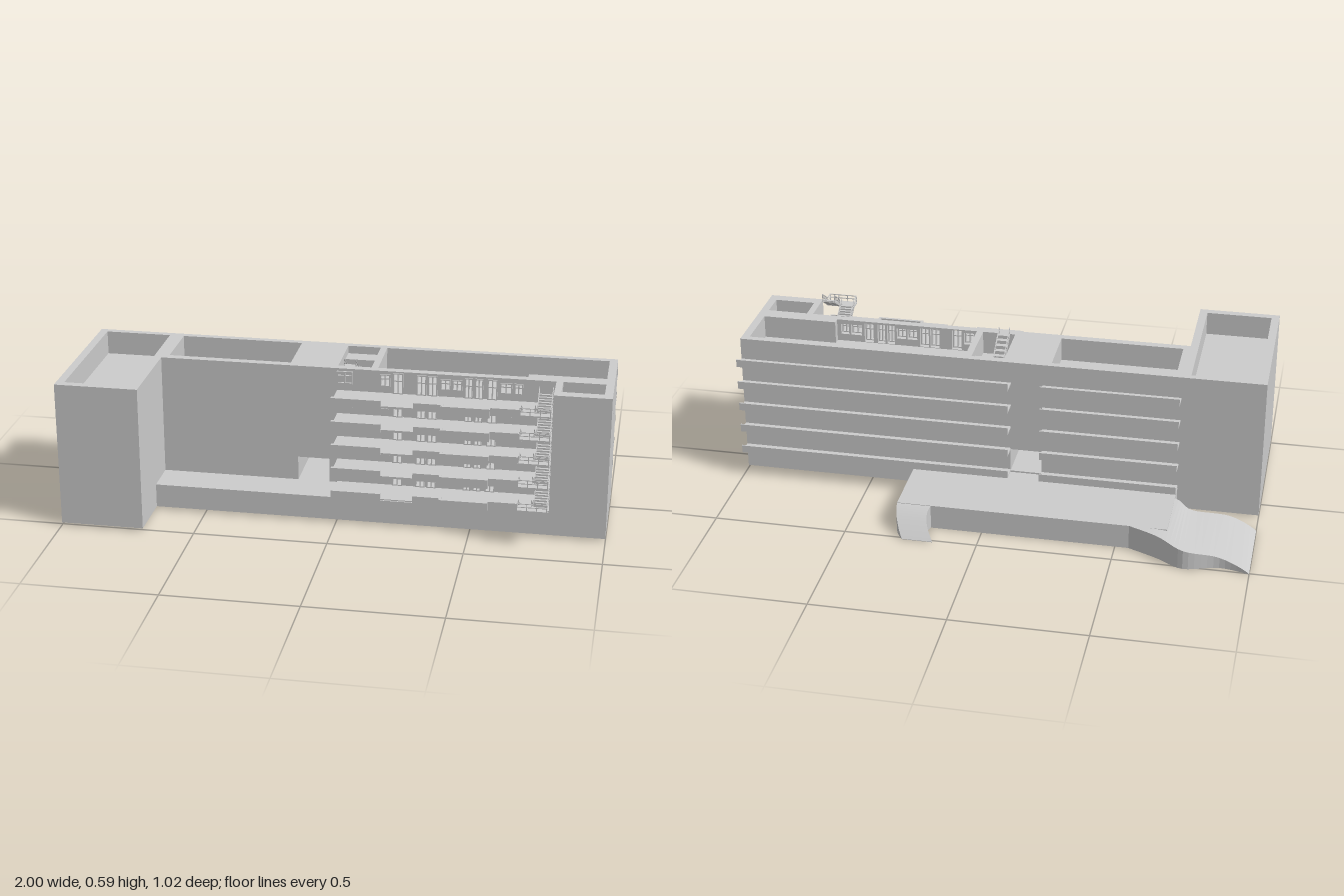
import * as THREE from 'three';

const mat = new THREE.MeshStandardMaterial({ color: 0xcccccc, flatShading: true, side: THREE.DoubleSide });
const FLOORS = [0, 1, 2, 3, 4].map(i => 0.1 + i * 0.0925);
const ROOF = 0.56, TOP = 0.47;

function add(parent, name, geo) {
  const m = new THREE.Mesh(geo, mat);
  m.name = name;
  parent.add(m);
  return m;
}

// Box given by its extents
function box(parent, name, x0, x1, y0, y1, z0, z1) {
  const m = add(parent, name, new THREE.BoxGeometry(x1 - x0, y1 - y0, z1 - z0));
  m.position.set((x0 + x1) / 2, (y0 + y1) / 2, (z0 + z1) / 2);
  return m;
}

// Thin square bar between two points
function bar(parent, name, a, b, t = 0.003) {
  const p = new THREE.Vector3(...a), q = new THREE.Vector3(...b);
  const m = add(parent, name, new THREE.BoxGeometry(t, t, p.distanceTo(q)));
  m.position.copy(p).lerp(q, 0.5);
  m.lookAt(q);
}

const rect = (x0, x1, z0, z1) => [[x0, z0], [x1, z0], [x1, z1], [x0, z1]];

// Floor plan of [x, z] corners, extruded from y0 to y1
function plan(parent, name, pts, holes, y0, y1) {
  const vec = p => p.map(([x, z]) => new THREE.Vector2(x, -z));
  const shape = new THREE.Shape(vec(pts));
  holes.forEach(h => shape.holes.push(new THREE.Path(vec(h))));
  const geo = new THREE.ExtrudeGeometry(shape, { depth: y1 - y0, bevelEnabled: false });
  geo.rotateX(-Math.PI / 2);
  geo.translate(0, y0, 0);
  return add(parent, name, geo);
}

// Solid from sections: two top corners each, sides dropping to the ground
function groundLoft(parent, name, sections) {
  const pos = [], idx = [];
  for (const [a, b] of sections) pos.push(...a, ...b, b[0], 0, b[2], a[0], 0, a[2]);
  for (let i = 0; i < sections.length - 1; i++)
    for (let j = 0; j < 4; j++) {
      const k = (j + 1) % 4, p = i * 4, q = p + 4;
      idx.push(p + j, p + k, q + k, p + j, q + k, q + j);
    }
  const e = (sections.length - 1) * 4;
  idx.push(0, 2, 1, 0, 3, 2, e, e + 1, e + 2, e, e + 2, e + 3);
  const geo = new THREE.BufferGeometry();
  geo.setAttribute('position', new THREE.Float32BufferAttribute(pos, 3));
  geo.setIndex(idx);
  geo.computeVertexNormals();
  return add(parent, name, geo);
}

// Openings of one storey: x range, sill and head above the floor
const OPENINGS = [
  [0.142, 0.18, 0.03, 0.078], [0.19, 0.228, 0.004, 0.085], [0.278, 0.314, 0.004, 0.082],
  [0.32, 0.355, 0.004, 0.082], [0.366, 0.404, 0.03, 0.072], [0.41, 0.447, 0.03, 0.072],
  [0.456, 0.486, 0.004, 0.082], [0.494, 0.524, 0.004, 0.082], [0.54, 0.576, 0.004, 0.082],
  [0.586, 0.63, 0.03, 0.072], [0.638, 0.67, 0.03, 0.072],
];

function windowFrame(parent, x0, x1, y0, y1, z) {
  const g = new THREE.Group(), t = 0.004, a = z - 0.012, b = z + 0.005, xm = (x0 + x1) / 2;
  g.name = 'windowFrame';
  for (const x of [x0, xm - t / 2, x1 - t]) box(g, 'frameUpright', x, x + t, y0, y1, a, b);
  for (const y of [y0, y0 + (y1 - y0) * 0.6, y1 - t]) box(g, 'frameRail', x0, x1, y, y + t, a, b);
  parent.add(g);
}

// Straight flight with steps, sloping soffit and railings
function flight(parent, x0, x1, ya, za, yb, zb) {
  const g = new THREE.Group(), n = 7;
  g.name = 'stairFlight';
  const dy = (yb - ya) / n, dz = (zb - za) / n;
  for (let i = 0; i < n; i++) {
    const z = za + i * dz, y = ya + i * dy;
    box(g, 'step', x0, x1, y, y + dy, Math.min(z, z + dz), Math.max(z, z + dz));
  }
  const soffit = add(g, 'soffit', new THREE.BoxGeometry(x1 - x0, 0.005, Math.hypot(yb - ya, zb - za)));
  soffit.position.set((x0 + x1) / 2, (ya + yb) / 2 - 0.003, (za + zb) / 2);
  soffit.rotation.x = -Math.atan((yb - ya) / (zb - za));
  for (const x of [x0 + 0.002, x1 - 0.002]) {
    for (const h of [0.014, 0.026]) bar(g, 'handrail', [x, ya + h, za], [x, yb + h, zb], 0.0025);
    for (let i = 0; i <= 4; i++) {
      const y = ya + (yb - ya) * i / 4, z = za + (zb - za) * i / 4;
      bar(g, 'railPost', [x, y, z], [x, y + 0.026, z], 0.0025);
    }
  }
  parent.add(g);
}

export function createModel() {
  const root = new THREE.Group();
  root.name = 'building';

  // Podium and side wing
  box(root, 'podium', -0.69, 1, 0.01, 0.1, -0.1, 0.31);
  box(root, 'wing', -1, -0.69, 0.01, TOP, -0.1, 0.51);
  plan(root, 'wingParapet', rect(-1, -0.69, -0.1, 0.51), [rect(-0.97, -0.72, -0.075, 0.48)], TOP, ROOF);

  // Main block around the passage
  box(root, 'mainBlock', -0.69, -0.17, 0.1, TOP, -0.1, 0.17);
  box(root, 'passageLintel', -0.17, -0.05, 0.193, TOP, -0.1, 0.17);
  box(root, 'stairCore', -0.05, 0.13, 0.1, TOP, -0.1, 0.17);
  plan(root, 'mainParapet', rect(-0.69, 0.13, -0.1, 0.17),
    [rect(-0.665, -0.2, -0.075, 0.14), rect(-0.02, 0.105, -0.075, 0.14)], TOP, ROOF);
  box(root, 'stairwellLedge', -0.02, 0.105, TOP, 0.53, -0.075, -0.01);

  // Apartment block: back and end walls, solid corner, floors
  plan(root, 'apartmentWalls', [[0.13, -0.1], [1, -0.1], [1, 0.17], [0.685, 0.17], [0.685, 0.112],
    [0.97, 0.112], [0.97, -0.075], [0.13, -0.075]], [], 0.1, ROOF);
  for (const y of FLOORS) box(root, 'apartmentFloor', 0.13, 0.97, y - 0.006, y + 0.002, -0.075, 0.145);

  // Front wall with window and door openings
  const wall = new THREE.Shape([[0.13, 0.1], [0.685, 0.1], [0.685, ROOF], [0.13, ROOF]].map(p => new THREE.Vector2(...p)));
  for (const y of FLOORS)
    for (const [x0, x1, s, h] of OPENINGS) {
      wall.holes.push(new THREE.Path([[x0, y + s], [x0, y + h], [x1, y + h], [x1, y + s]].map(p => new THREE.Vector2(...p))));
      windowFrame(root, x0, x1, y + s, y + h, 0.17);
    }
  const wallGeo = new THREE.ExtrudeGeometry(wall, { depth: 0.03, bevelEnabled: false });
  wallGeo.translate(0, 0, 0.14);
  add(root, 'frontWall', wallGeo);

  // Corner tower
  box(root, 'cornerTower', 0.79, 1, 0.1, TOP, 0.17, 0.31);
  plan(root, 'towerParapet', rect(0.79, 1, 0.112, 0.31), [rect(0.815, 0.97, 0.14, 0.27)], TOP, ROOF);

  for (const y of FLOORS) {
    // Front galleries with broken parapet and bay
    box(root, 'gallerySlab', -0.02, 0.79, y - 0.004, y + 0.004, 0.17, 0.305);
    for (const [x0, x1] of [[-0.02, 0.165], [0.285, 0.385], [0.565, 0.68]])
      box(root, 'galleryParapet', x0, x1, y - 0.004, y + 0.026, 0.296, 0.31);
    box(root, 'bayFront', 0.385, 0.565, y - 0.008, y + 0.026, 0.315, 0.326);
    box(root, 'bayFloor', 0.385, 0.565, y - 0.008, y + 0.003, 0.3, 0.326);
    for (const x of [0.385, 0.556]) box(root, 'bayCheek', x, x + 0.009, y - 0.004, y + 0.026, 0.296, 0.32);
    windowFrame(root, -0.02, 0.04, y + 0.032, y + 0.08, 0.172);

    // Back balconies
    for (const [x0, x1] of [[-0.69, -0.17], [-0.05, 1]]) {
      box(root, 'backBalconyFloor', x0, x1, y, y + 0.006, -0.162, -0.1);
      box(root, 'backBalconyParapet', x0, x1, y, y + 0.03, -0.162, -0.156);
    }

    // Outside stair
    const mid = y + 0.045;
    flight(root, 0.678, 0.732, y, 0.3, mid, 0.368);
    flight(root, 0.737, 0.79, mid, 0.368, y + 0.09, 0.3);
    box(root, 'stairLanding', 0.678, 0.79, mid - 0.006, mid, 0.365, 0.408);
    for (const h of [0.013, 0.026]) {
      bar(root, 'landingRail', [0.68, mid + h, 0.406], [0.788, mid + h, 0.406]);
      for (const x of [0.68, 0.788]) bar(root, 'landingRail', [x, mid + h, 0.368], [x, mid + h, 0.406]);
    }
    for (const x of [0.68, 0.716, 0.752, 0.788]) bar(root, 'landingPost', [x, mid, 0.406], [x, mid + 0.026, 0.406]);
  }

  // Stair up to the roof
  flight(root, 0.0, 0.045, TOP, 0.005, ROOF, 0.14);

  // Raised drive behind the building, with a winding ramp at one end
  const H = 0.094;
  box(root, 'driveDeck', -0.69, 0.32, 0, H, -0.41, -0.1);
  const far = new THREE.SplineCurve([[-1, -0.505], [-0.89, -0.482], [-0.76, -0.514], [-0.66, -0.46], [-0.55, -0.41]].map(p => new THREE.Vector2(...p)));
  const near = new THREE.SplineCurve([[-1, -0.2], [-0.9, -0.18], [-0.76, -0.218], [-0.69, -0.175], [-0.55, -0.17]].map(p => new THREE.Vector2(...p)));
  const ramp = [];
  for (let i = 0; i <= 24; i++) {
    const t = i / 24, f = far.getPoint(t), n = near.getPoint(t);
    const y = 0.002 + (H - 0.002) * Math.sin(Math.min(1, t * 1.15) * Math.PI / 2);
    ramp.push([[f.x, y, f.y], [n.x, y, n.y]]);
  }
  groundLoft(root, 'windingRamp', ramp);

  // Curved ramp at the other end
  const curl = [];
  for (let i = 0; i <= 14; i++) {
    const t = i / 14, z = -0.405 - 0.107 * t;
    const inner = 0.165 + 0.035 * Math.sin(Math.PI * Math.min(1, 0.25 + t * 0.75));
    const outer = 0.32 - 0.04 * t * t;
    const y = 0.002 + (H - 0.002) * (1 - Math.pow(t, 1.3));
    curl.push([[inner, y, z], [outer, y, z]]);
  }
  groundLoft(root, 'curvedRamp', curl);
  return root;
}
